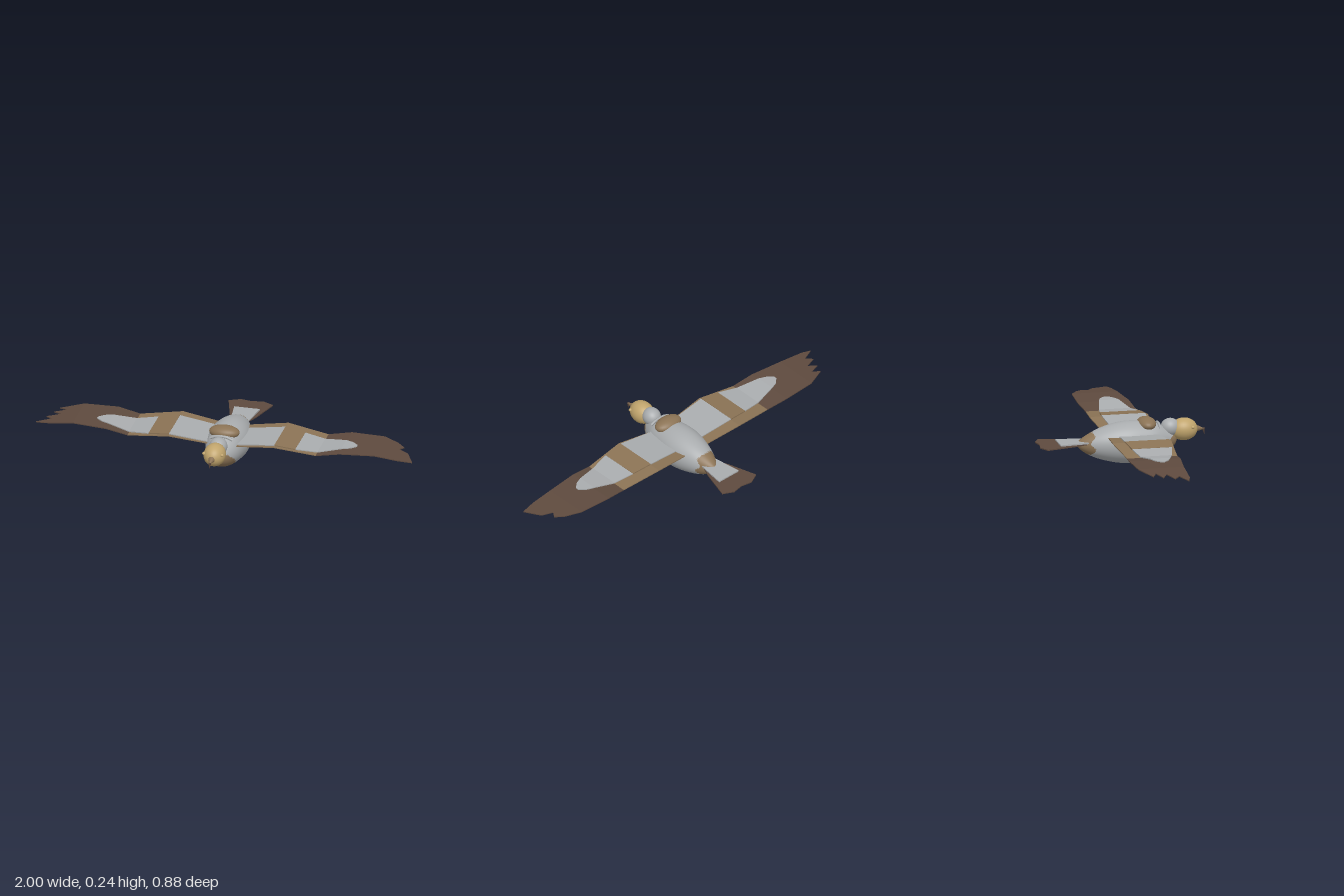
import * as THREE from 'three';
import { mergeGeometries } from 'three/addons/utils/BufferGeometryUtils.js';

const mat = (name, color) => new THREE.MeshStandardMaterial({ name, color });

// Height of the wing surface, straight between the stations
const WING_Y = [[0.05, 0.15], [0.28, 0.177], [0.5, 0.15], [0.62, 0.168], [0.8, 0.169], [1, 0.146]];
function wingHeight(x) {
  const a = Math.abs(x);
  let i = 0;
  while (i < WING_Y.length - 2 && a > WING_Y[i + 1][0]) i++;
  const [x0, y0] = WING_Y[i], [x1, y1] = WING_Y[i + 1];
  return y0 + (y1 - y0) * (a - x0) / (x1 - x0);
}

// Thin horizontal plate from an outline of [x, z] points
function plate(points, thickness, y) {
  const shape = new THREE.Shape(points.map(([x, z]) => new THREE.Vector2(x, -z)));
  const g = new THREE.ExtrudeGeometry(shape, { depth: thickness, bevelEnabled: false });
  return g.rotateX(-Math.PI / 2).translate(0, y, 0);
}

// Lay a plate along the curve of the wing
function drape(g) {
  const p = g.attributes.position;
  for (let i = 0; i < p.count; i++) p.setY(i, p.getY(i) + wingHeight(p.getX(i)));
  g.computeVertexNormals();
  return g;
}

// Row of plates through stations [x, frontZ, backZ]
function panels(stations, side, thickness, lift) {
  const parts = [];
  for (let i = 0; i < stations.length - 1; i++) {
    const [x0, f0, b0] = stations[i], [x1, f1, b1] = stations[i + 1];
    const quad = [[x0, f0], [x1, f1], [x1, b1], [x0, b0]].map(([x, z]) => [x * side, z]);
    parts.push(drape(plate(quad, thickness, lift)));
  }
  return mergeGeometries(parts);
}

export function createModel() {
  const model = new THREE.Group();
  const grey = mat('grey plumage', 0xa9acae);
  const brown = mat('brown plumage', 0x8b7355);
  const dark = mat('dark feathers', 0x5e4a3e);
  const tan = mat('tan head', 0xc0a46c);

  const add = (name, geometry, material, parent = model) => {
    const mesh = new THREE.Mesh(geometry, material);
    mesh.name = name;
    parent.add(mesh);
    return mesh;
  };
  const ellipsoid = (name, material, pos, radii) => {
    const mesh = add(name, new THREE.SphereGeometry(1, 32, 20), material);
    mesh.position.set(...pos);
    mesh.scale.set(...radii);
    return mesh;
  };

  // Body: lathe along z whose centre line follows the back and belly [z, top, bottom]
  const profile = [
    [-0.24, 0.116, 0.106], [-0.2, 0.146, 0.07], [-0.15, 0.173, 0.042], [-0.1, 0.194, 0.024],
    [-0.03, 0.213, 0.007], [0.03, 0.22, 0.001], [0.1, 0.218, 0.011], [0.18, 0.205, 0.029],
    [0.24, 0.172, 0.054], [0.28, 0.142, 0.085], [0.294, 0.114, 0.112],
  ];
  const spline = new THREE.CatmullRomCurve3(profile.map(([z, t, b]) => new THREE.Vector3((t - b) / 2, z, (t + b) / 2)));
  const rings = spline.getPoints(70);
  rings[0].x = rings[70].x = 0;
  const bodyGeo = new THREE.LatheGeometry(rings.map(p => new THREE.Vector2(Math.max(p.x, 0), p.y)), 64);
  bodyGeo.rotateX(Math.PI / 2);
  const pos = bodyGeo.attributes.position;
  for (let i = 0; i < pos.count; i++) pos.setY(i, pos.getY(i) + rings[i % 71].z);
  bodyGeo.computeVertexNormals();

  // Brown chest and rump are face groups of the body
  const isBrown = (y, z) => (y < 0.15 && z > 0.105 + y * 1.15) ||
    z < (y > 0.06 ? -0.158 + 0.012 * Math.sin(y * 90) : -0.195);
  const faces = [[], []];
  const index = bodyGeo.index.array;
  for (let i = 0; i < index.length; i += 3) {
    const t = [index[i], index[i + 1], index[i + 2]];
    const y = t.reduce((s, v) => s + pos.getY(v), 0) / 3;
    const z = t.reduce((s, v) => s + pos.getZ(v), 0) / 3;
    faces[isBrown(y, z) ? 1 : 0].push(...t);
  }
  bodyGeo.setIndex([...faces[0], ...faces[1]]);
  bodyGeo.addGroup(0, faces[0].length, 0);
  bodyGeo.addGroup(faces[0].length, faces[1].length, 1);
  add('body', bodyGeo, [grey, brown]);

  // Neck, head and shoulder patch
  ellipsoid('neck', grey, [0, 0.177, 0.258], [0.047, 0.047, 0.05]);
  ellipsoid('head', tan, [0, 0.163, 0.33], [0.057, 0.059, 0.071]);
  ellipsoid('shoulderPatch', brown, [0, 0.203, 0.132], [0.08, 0.034, 0.049]);
  for (const side of [-1, 1]) ellipsoid('eye', tan, [side * 0.048, 0.18, 0.367], [0.009, 0.009, 0.009]);

  // Small collar ridge behind the neck
  const ridge = new THREE.CatmullRomCurve3([[-0.06, 0.188], [-0.03, 0.2], [0, 0.203], [0.03, 0.2], [0.06, 0.188]]
    .map(([x, y]) => new THREE.Vector3(x, y, 0.194)));
  add('collarRidge', new THREE.TubeGeometry(ridge, 20, 0.007, 8), grey);

  // Beak with a hooked tip
  const beak = add('beak', new THREE.ConeGeometry(0.021, 0.055, 16), brown);
  beak.rotation.x = Math.PI / 2 + 0.1;
  beak.position.set(0, 0.161, 0.414);
  const hook = add('beakHook', new THREE.ConeGeometry(0.008, 0.032, 12), dark);
  hook.rotation.x = Math.PI - 0.15;
  hook.position.set(0, 0.145, 0.435);

  // Wing tips differ: fingered on the right, lightly notched on the left
  const tips = {
    '-1': [[0.8, 0.155], [0.95, 0.153], [1, 0.14], [0.925, 0.103], [0.96, 0.075], [0.89, 0.045],
      [0.935, 0.018], [0.87, -0.008], [0.915, -0.03], [0.8, -0.085]],
    '1': [[0.8, 0.155], [0.92, 0.152], [1, 0.14], [0.955, 0.05], [0.9, 0.022], [0.92, -0.008], [0.88, -0.045], [0.8, -0.085]],
  };
  for (const side of [-1, 1]) {
    const wing = new THREE.Group();
    wing.name = side > 0 ? 'leftWing' : 'rightWing';
    model.add(wing);
    add('innerWing', panels([[0.05, 0.185, -0.08], [0.28, 0.202, -0.105], [0.5, 0.186, -0.077]], side, 0.005, -0.003), brown, wing);
    const tip = drape(plate(tips[side].map(([x, z]) => [x * side, z]), 0.005, -0.003));
    const outer = panels([[0.5, 0.186, -0.077], [0.62, 0.176, -0.094], [0.8, 0.155, -0.085]], side, 0.005, -0.003);
    add('outerFeathers', mergeGeometries([outer, tip]), dark, wing);
    // Grey coverts on top, split by a brown band
    add('innerCovert', panels([[0.05, 0.178, -0.025], [0.28, 0.188, -0.042]], side, 0.005, 0.003), grey, wing);
    add('wingBand', panels([[0.28, 0.19, -0.043], [0.39, 0.183, -0.028]], side, 0.006, 0.003), brown, wing);
    add('outerCovert', panels([[0.39, 0.181, -0.027], [0.5, 0.157, -0.008], [0.62, 0.122, 0.018],
      [0.66, 0.105, 0.033], [0.69, 0.078, 0.062]], side, 0.005, 0.003), grey, wing);
    // Grey lining underneath
    add('underCovert', panels([[0.05, 0.15, -0.01], [0.2, 0.155, -0.02], [0.28, 0.145, -0.01], [0.34, 0.12, 0.015],
      [0.37, 0.08, 0.05]], side, 0.004, -0.009), grey, wing);
  }

  // Tail fan and its grey covert
  const half = [[0.035, -0.17], [0.07, -0.25], [0.118, -0.412], [0.06, -0.441]];
  const fan = [...half, [0, -0.43], ...half.map(([x, z]) => [-x, z]).reverse()];
  add('tailFan', plate(fan, 0.006, 0.115), dark);
  add('tailCovert', plate([[0.045, -0.165], [0.068, -0.333], [-0.068, -0.333], [-0.045, -0.165]], 0.007, 0.121), grey);
  return model;
}
